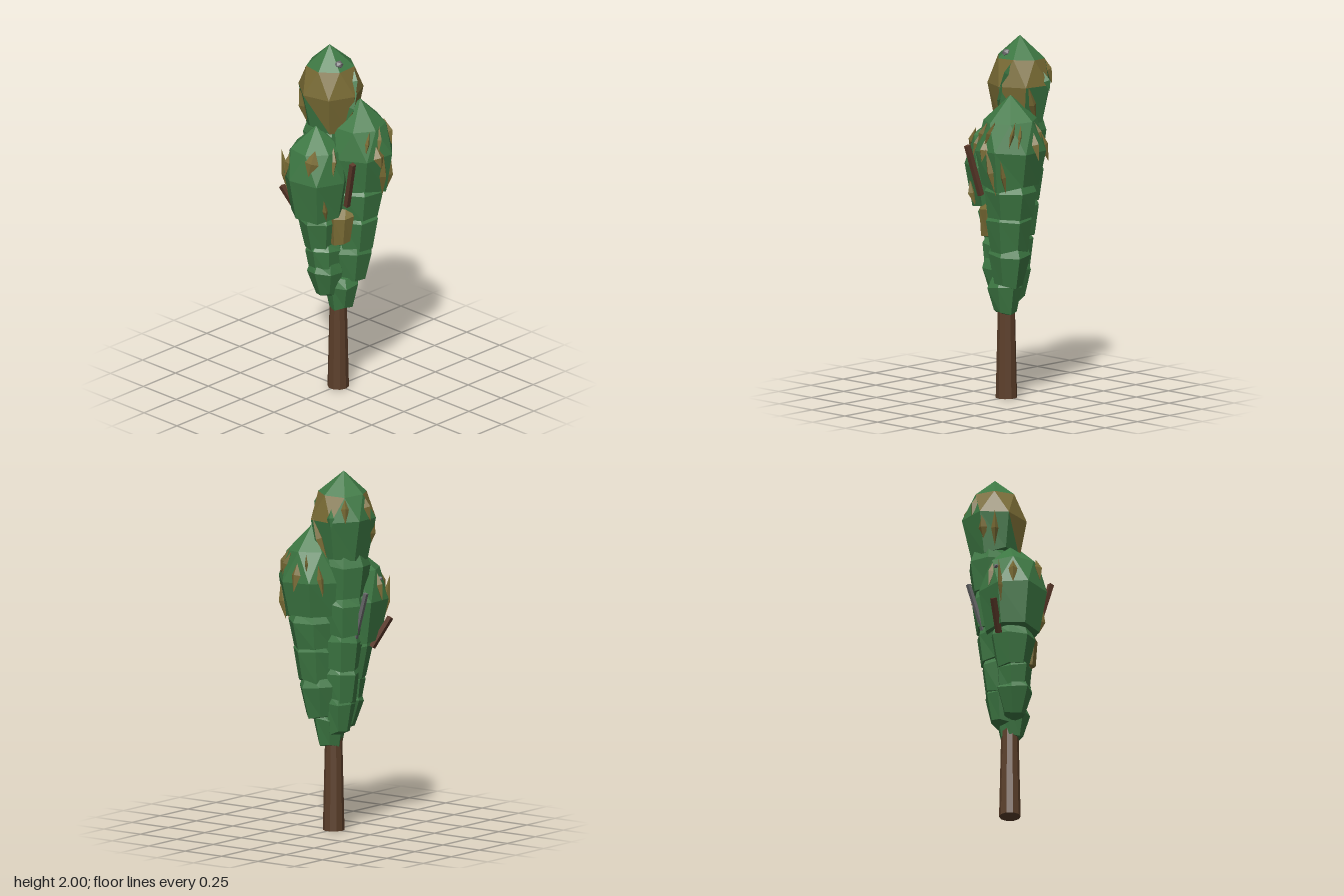
import * as THREE from 'three';

const paint = (name, color) => {
  const m = new THREE.MeshStandardMaterial({ color, flatShading: true });
  m.name = name;
  return m;
};
const SIDES = 7;
const STEP = (Math.PI * 2) / SIDES;

// Seeded noise in -1..1
let seed = 7;
const noise = () => {
  seed = (seed * 16807) % 2147483647;
  return (seed / 2147483647) * 2 - 1;
};

// Seven-sided faceted skin through rings [y, x, z, radius, phase, radiusJitter, yJitter], listed from top to bottom.
// isOlive(band, side, half) picks the triangles of the second material.
function loft(rings, isOlive = () => false) {
  const loops = rings.map(([y, x, z, r, phase, jr = 0, jy = 0]) =>
    Array.from({ length: SIDES }, (_, i) => {
      const a = phase + i * STEP;
      const rr = r * (1 + jr * noise());
      return new THREE.Vector3(x + rr * Math.cos(a), y + jy * noise(), z + rr * Math.sin(a));
    }));
  const buckets = [[], []];
  for (let k = 0; k + 1 < loops.length; k++) {
    for (let i = 0; i < SIDES; i++) {
      const j = (i + 1) % SIDES;
      const [a, b, c, d] = [loops[k][i], loops[k][j], loops[k + 1][i], loops[k + 1][j]];
      const add = (half, ...tri) => tri.forEach((p) => buckets[isOlive(k, i, half) ? 1 : 0].push(p));
      if (rings[k][3] > 0) add(0, a, b, c);
      if (rings[k + 1][3] > 0) add(1, b, d, c);
    }
  }
  const geo = new THREE.BufferGeometry().setFromPoints(buckets.flat());
  geo.addGroup(0, buckets[0].length, 0);
  geo.addGroup(buckets[0].length, buckets[1].length, 1);
  geo.computeVertexNormals();
  return geo;
}

export function createModel() {
  seed = 7;
  const root = new THREE.Group();
  const green = paint('leaf green', 0x3d7843);
  const olive = paint('olive leaf', 0x7a6c35);
  const bark = paint('bark brown', 0x5c3f2a);
  const twigBrown = paint('twig brown', 0x5c3a2a);
  const grey = paint('stone grey', 0x6a6a6c);
  const add = (name, geo, mat, parent = root) => {
    const m = new THREE.Mesh(geo, mat);
    m.name = name;
    parent.add(m);
    return m;
  };

  // Trunk
  add('trunk', new THREE.CylinderGeometry(0.046, 0.059, 0.56, 10), bark).position.y = 0.28;

  // Pointed crowns: apex, shoulder, widest ring, skirt, closed underside
  const crowns = [
    { name: 'topCrown', x: 0.025, z: -0.083, ax: 0.02, az: -0.085, apex: 2, ys: 1.88, yw: 1.74, yb: 1.53,
      rs: 0.133, rw: 0.18, rb: 0.137, deg: -67,
      olive: (k, i, h) => (k === 1 && ((i >= 1 && i <= 5) || (i === 6 && h === 0)))
        || (k === 2 && (i === 3 || (i === 4 && h === 0) || (i === 2 && h === 0))) },
    { name: 'frontCrown', x: 0.098, z: 0.065, ax: 0.1, az: 0.07, apex: 1.7, ys: 1.56, yw: 1.4, yb: 1.19,
      rs: 0.148, rw: 0.196, rb: 0.162, deg: 72 },
    { name: 'rearCrown', x: -0.106, z: -0.054, ax: -0.1, az: -0.07, apex: 1.56, ys: 1.44, yw: 1.28, yb: 1.05,
      rs: 0.146, rw: 0.19, rb: 0.15, deg: 189 },
  ];
  for (const c of crowns) {
    const p = THREE.MathUtils.degToRad(c.deg);
    add(c.name, loft([
      [c.apex, c.ax, c.az, 0, p],
      [c.ys, c.x, c.z, c.rs, p - STEP / 2, 0.03, 0.008],
      [c.yw, c.x, c.z, c.rw, p, 0.02, 0.008],
      [c.yb, c.x * 0.97, c.z * 0.97, c.rb, p, 0.03, 0.022],
      [c.yb + 0.02, c.x, c.z, 0, p],
    ], c.olive), [green, olive]);
  }

  // Overlapping leaf tiers below each crown: [top y, bottom y, x, z, top radius, bottom radius]
  const tiers = {
    topTier: [
      [1.56, 1.3, 0.03, -0.1, 0.135, 0.112], [1.34, 1.09, 0.025, -0.09, 0.125, 0.1],
      [1.13, 0.89, 0.02, -0.075, 0.112, 0.09], [0.93, 0.71, 0.01, -0.06, 0.1, 0.08],
      [0.77, 0.54, 0.015, -0.05, 0.09, 0.058],
    ],
    frontTier: [
      [1.23, 1.01, 0.088, 0.062, 0.15, 0.124], [1.06, 0.83, 0.075, 0.057, 0.128, 0.105],
      [0.87, 0.63, 0.062, 0.042, 0.118, 0.08], [0.68, 0.47, 0.008, 0.018, 0.096, 0.066],
    ],
    rearTier: [
      [1.09, 0.83, -0.088, -0.05, 0.126, 0.088], [0.89, 0.69, -0.078, -0.03, 0.1, 0.083],
      [0.77, 0.56, -0.072, -0.022, 0.102, 0.06],
    ],
  };
  for (const [name, list] of Object.entries(tiers)) {
    list.forEach(([t, b, x, z, rt, rb], n) => {
      const p = n * 0.9 + 0.3;
      const drop = (t - b) * 0.27;
      add(name + (n + 1), loft([
        [t, x, z, 0, p],
        [t - 0.008, x, z, rt * 0.8, p, 0.05, 0.012],
        [t - drop, x, z, rt, p, 0.05, 0.012],
        [b + 0.01, x * 0.95, z * 0.95, rb, p, 0.05, 0.014],
        [b - 0.01, x * 0.95, z * 0.95, 0, p],
      ]), green);
    });
  }

  // Leaf slivers lying on the crowns: [crown index, angle in degrees, y, width, height, tilt]
  const oliveSlivers = [
    [1, 100, 1.41, 0.07, 0.13, 0.1], [1, 86, 1.29, 0.055, 0.27, 0.14], [1, 93, 1.5, 0.022, 0.15, -0.3],
    [1, 120, 1.49, 0.025, 0.14, -0.25], [1, 43, 1.5, 0.025, 0.15, -0.25], [1, 28, 1.49, 0.022, 0.14, -0.2],
    [1, -5, 1.44, 0.055, 0.19, 0], [1, -24, 1.5, 0.022, 0.12, 0.1], [1, 60, 1.27, 0.03, 0.2, 0.12],
    [1, -50, 1.42, 0.035, 0.2, 0.1],
    [2, 148, 1.4, 0.08, 0.15, -0.2], [2, 100, 1.4, 0.045, 0.16, -0.2], [2, 215, 1.36, 0.055, 0.18, 0],
    [2, 262, 1.36, 0.04, 0.18, 0], [2, 238, 1.26, 0.035, 0.3, 0], [2, 120, 1.12, 0.03, 0.14, 0.15],
    [0, -42, 1.81, 0.045, 0.16, 0], [0, 20, 1.64, 0.045, 0.24, 0.3],
    [0, 262, 1.81, 0.06, 0.15, 0], [0, 240, 1.66, 0.05, 0.2, 0], [0, 215, 1.65, 0.04, 0.2, 0],
  ];
  const greenSlivers = [
    [0, 76, 1.81, 0.035, 0.18, -0.35], [0, 90, 1.67, 0.035, 0.2, -0.3], [0, -14, 1.76, 0.05, 0.12, 0.1],
  ];
  const addSlivers = (name, list, mat) => {
    const group = new THREE.Group();
    group.name = name;
    root.add(group);
    for (const [ci, deg, y, w, h, tilt] of list) {
      const a = THREE.MathUtils.degToRad(deg);
      const c = crowns[ci];
      const [yEnd, rEnd] = y > c.yw ? [c.ys, c.rs] : [c.yb, c.rb];
      const slope = (rEnd - c.rw) / (yEnd - c.yw);
      const dist = (c.rw + slope * (y - c.yw)) * 0.94;
      const leaf = add('leafSliver', new THREE.OctahedronGeometry(0.5), mat, group);
      leaf.scale.set(w, h, 0.05);
      leaf.rotation.set(Math.atan(slope), Math.PI / 2 - a, tilt, 'YXZ');
      leaf.position.set(c.x + dist * Math.cos(a), y, c.z + dist * Math.sin(a));
    }
  };
  addSlivers('oliveLeaves', oliveSlivers, olive);
  addSlivers('greenLeaves', greenSlivers, green);

  // Olive tuft in the gap between the front crowns
  add('oliveTuft', loft([
    [1.12, -0.01, 0.07, 0, 0],
    [1.04, -0.045, 0.07, 0.07, 0.3, 0.1, 0.025],
    [0.9, -0.05, 0.065, 0.06, 0.3, 0.05, 0.01],
    [0.89, -0.05, 0.065, 0, 0],
  ]), olive);

  // Twigs poking out of the leaves: [name, tip, root, thickness, material]
  const twigs = [
    ['frontTwig', [-0.097, 1.41, 0.205], [-0.066, 1.13, 0.13], 0.026, twigBrown],
    ['rearTwig', [-0.19, 1.175, -0.243], [-0.13, 1.01, -0.165], 0.026, twigBrown],
    ['greyTwig', [0.037, 1.34, -0.25], [0.02, 1.08, -0.165], 0.02, grey],
  ];
  for (const [name, tip, base, t, mat] of twigs) {
    const from = new THREE.Vector3(...base);
    const dir = new THREE.Vector3(...tip).sub(from);
    const twig = add(name, new THREE.BoxGeometry(t, dir.length(), t), mat);
    twig.position.copy(from).addScaledVector(dir, 0.5);
    twig.quaternion.setFromUnitVectors(new THREE.Vector3(0, 1, 0), dir.normalize());
  }

  // Small stones caught in the leaves
  for (const [x, y, z, r] of [[0.002, 1.91, 0, 0.027], [-0.155, 1.39, -0.2, 0.016]]) {
    const stone = add('stone', new THREE.IcosahedronGeometry(r, 0), grey);
    stone.position.set(x, y, z);
    stone.scale.y = 0.85;
  }
  return root;
}
